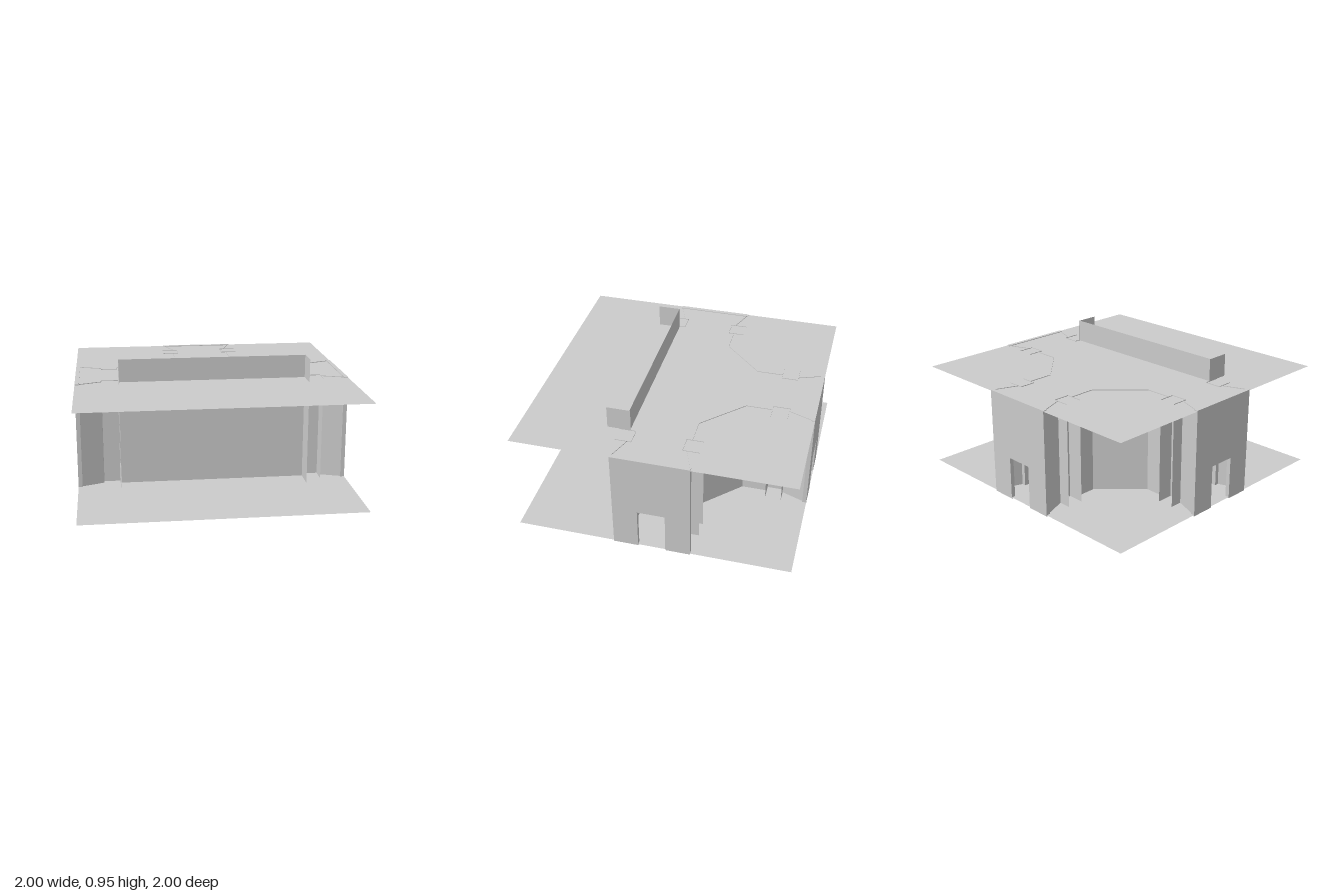
import * as THREE from 'three';

const mat = new THREE.MeshStandardMaterial({ color: 0xcccccc, side: THREE.DoubleSide });
const WALL_TOP = 0.787, FLOOR = 0.01;

function add(parent, name, geometry) {
  const mesh = new THREE.Mesh(geometry, mat);
  mesh.name = name;
  parent.add(mesh);
  return mesh;
}

// Thin upright wall following a plan path of [x, z] points
function wall(parent, name, path, top = WALL_TOP, bottom = FLOOR) {
  const group = new THREE.Group();
  group.name = name;
  for (let i = 0; i < path.length - 1; i++) {
    const [x0, z0] = path[i], [x1, z1] = path[i + 1];
    const g = new THREE.PlaneGeometry(Math.hypot(x1 - x0, z1 - z0), top - bottom);
    g.rotateY(-Math.atan2(z1 - z0, x1 - x0));
    g.translate((x0 + x1) / 2, (top + bottom) / 2, (z0 + z1) / 2);
    add(group, name + 'Panel', g);
  }
  parent.add(group);
}

function slab(parent, name, y) {
  add(parent, name, new THREE.PlaneGeometry(2, 2).rotateX(-Math.PI / 2).translate(0, y, 0));
}

// Outer wall with a doorway, facing +z before it is turned into place
function doorWall(parent, name, angle) {
  const s = new THREE.Shape();
  [[-0.28, 0], [-0.1, 0], [-0.1, 0.32], [0.1, 0.32], [0.1, 0], [0.28, 0], [0.28, WALL_TOP], [-0.28, WALL_TOP]]
    .forEach(([x, y], i) => (i ? s.lineTo(x, y) : s.moveTo(x, y)));
  s.closePath();
  const g = new THREE.ExtrudeGeometry(s, { depth: 0.03, bevelEnabled: false });
  g.translate(0, 0, 0.97).rotateY(angle);
  add(parent, name, g);
}

export function createModel() {
  const room = new THREE.Group();
  room.name = 'room';

  slab(room, 'floor', FLOOR);
  slab(room, 'ceiling', 0.782);

  // Three entrances: left, right and back
  doorWall(room, 'leftDoorWall', Math.PI / 2);
  doorWall(room, 'rightDoorWall', -Math.PI / 2);
  doorWall(room, 'backDoorWall', Math.PI);

  for (const s of [-1, 1]) {
    const side = s > 0 ? 'left' : 'right';

    // Splayed entrance walls and the channel-shaped pillars behind them
    for (const f of [-1, 1]) {
      wall(room, side + 'EntranceWall', [[s * 0.97, f * 0.27], [s * 0.81, f * 0.21]]);
      wall(room, side + 'Pillar', [[s * 0.81, f * 0.3], [s * 0.81, f * 0.18], [s * 0.69, f * 0.18], [s * 0.69, f * 0.3]]);
    }
    wall(room, 'backEntranceWall', [[s * 0.27, -0.97], [s * 0.21, -0.81]]);
    wall(room, 'backPillar', [[s * 0.3, -0.81], [s * 0.18, -0.81], [s * 0.18, -0.69], [s * 0.3, -0.69]]);

    // Cut-off back corner
    wall(room, side + 'CornerWall', [[s * 0.69, -0.22], [s * 0.5, -0.22], [s * 0.22, -0.5], [s * 0.22, -0.69]]);

    // Tall return at each end of the front wall
    wall(room, side + 'FrontReturn', [[s * 0.685, 0.22], [s * 0.685, 0.39]], 0.95);
  }

  // Tall front wall with a window opening
  const s = new THREE.Shape();
  s.moveTo(-0.685, FLOOR).lineTo(0.685, FLOOR).lineTo(0.685, 0.95).lineTo(-0.685, 0.95).closePath();
  const hole = new THREE.Path();
  hole.moveTo(-0.33, 0.575).lineTo(-0.33, 0.775).lineTo(0.33, 0.775).lineTo(0.33, 0.575).closePath();
  s.holes.push(hole);
  add(room, 'frontWall', new THREE.ShapeGeometry(s).translate(0, 0, 0.225));
  add(room, 'windowPane', new THREE.PlaneGeometry(0.66, 0.2).translate(0, 0.675, 0.217));

  return room;
}
